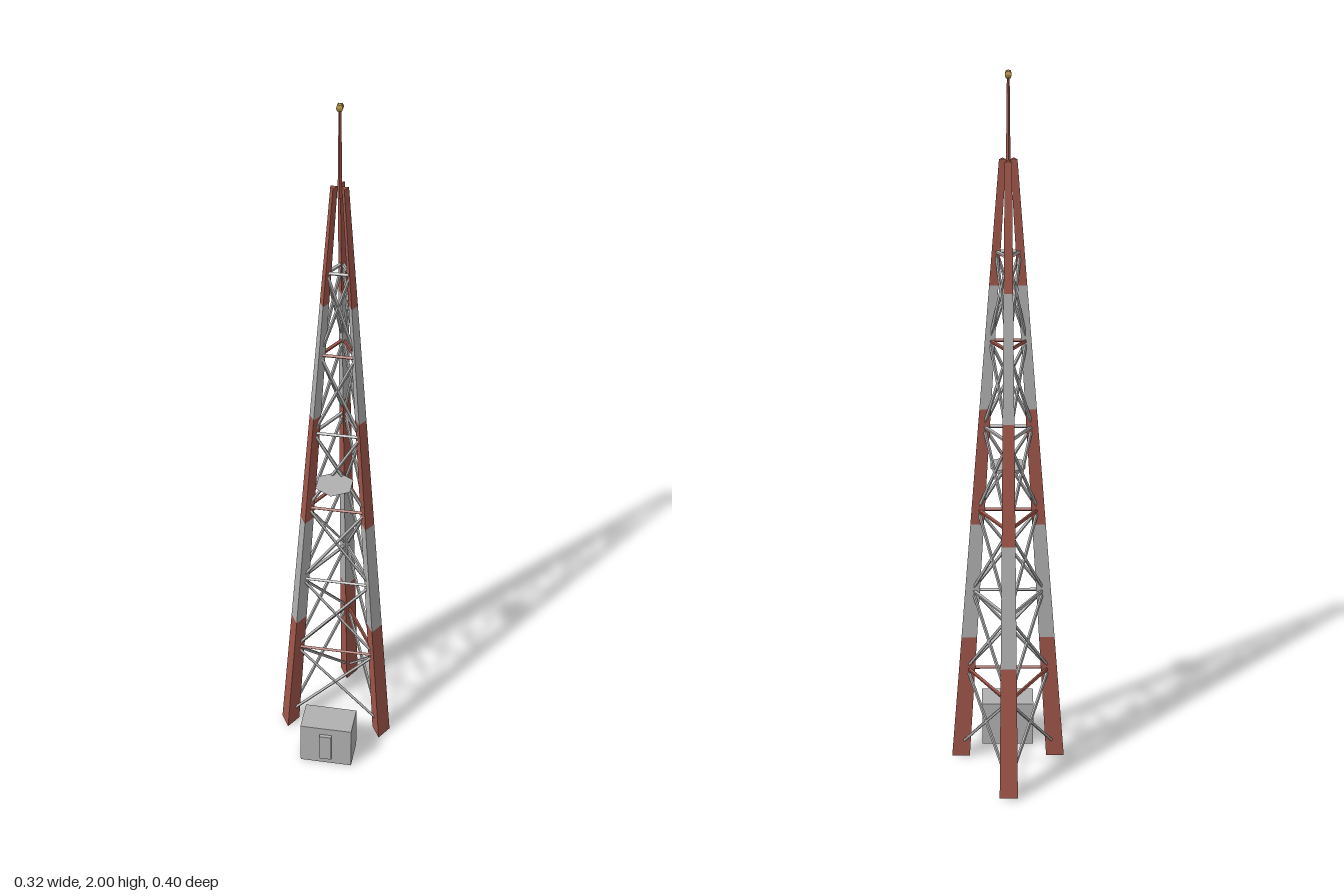
import * as THREE from 'three';

const mat = (name, color) => new THREE.MeshStandardMaterial({ name, color, flatShading: true });
const HEIGHT = 1.77, AXIS_Z = -0.034;

// Distance of a leg centre from the tower axis, and leg section radius, at height y
const legDistance = (y) => THREE.MathUtils.lerp(0.1545, 0.0165, y / HEIGHT);
const legRadius = (y) => THREE.MathUtils.lerp(0.029, 0.0105, y / HEIGHT);

// Point on the centre line of leg i (0 = back) at height y
function legPoint(i, y) {
  return new THREE.Vector3(0, y, -legDistance(y)).applyAxisAngle(new THREE.Vector3(0, 1, 0), i * Math.PI * 2 / 3);
}

function addMesh(parent, name, geometry, material, x = 0, y = 0, z = 0) {
  const mesh = new THREE.Mesh(geometry, material);
  mesh.name = name;
  mesh.position.set(x, y, z);
  parent.add(mesh);
  return mesh;
}

// Thin rod between two points
function addRod(parent, name, a, b, radius, material) {
  const mesh = addMesh(parent, name, new THREE.CylinderGeometry(radius, radius, a.distanceTo(b), 4), material);
  mesh.position.copy(a).add(b).multiplyScalar(0.5);
  mesh.quaternion.setFromUnitVectors(new THREE.Vector3(0, 1, 0), b.clone().sub(a).normalize());
}

// Tapered triangular leg piece, sheared so that it leans towards the axis
function legSection(y0, y1) {
  const g = new THREE.CylinderGeometry(legRadius(y1), legRadius(y0), y1 - y0, 3);
  g.translate(0, (y0 + y1) / 2, 0);
  const p = g.attributes.position;
  for (let i = 0; i < p.count; i++) p.setZ(i, p.getZ(i) - legDistance(p.getY(i)));
  g.computeVertexNormals();
  return g;
}

export function createModel() {
  const red = mat('signal red', 0xa0564a);
  const grey = mat('light grey', 0xb0b0b0);
  const gold = mat('beacon amber', 0xb08a3c);

  const model = new THREE.Group();
  model.name = 'latticeTower';
  const tower = new THREE.Group();
  tower.name = 'tower';
  tower.position.z = AXIS_Z;
  model.add(tower);

  // Three legs in five alternating bands
  const edges = [0.005, 0.39, 0.74, 1.08, 1.43, HEIGHT];
  for (let i = 0; i < 3; i++) {
    const leg = new THREE.Group();
    leg.name = 'leg';
    leg.rotation.y = i * Math.PI * 2 / 3;
    for (let s = 0; s < 5; s++) addMesh(leg, 'legBand', legSection(edges[s], edges[s + 1]), s % 2 ? grey : red);
    tower.add(leg);
  }

  // Horizontal rings and crossed braces
  const bay = 0.247, start = 0.04;
  for (let b = 0; b < 6; b++) {
    const y0 = start + b * bay, y1 = y0 + bay;
    for (let i = 0; i < 3; i++) {
      const j = (i + 1) % 3;
      addRod(tower, 'ringBar', legPoint(i, y1), legPoint(j, y1), 0.005, b % 2 ? grey : red);
      addRod(tower, 'crossBrace', legPoint(i, y0), legPoint(j, y1), 0.0045, grey);
      addRod(tower, 'crossBrace', legPoint(j, y0), legPoint(i, y1), 0.0045, grey);
    }
  }

  // Mast and beacon
  addMesh(tower, 'mast', new THREE.CylinderGeometry(0.0035, 0.006, 0.25, 4), red, 0, 1.86, 0);
  const beacon = addMesh(tower, 'beacon', new THREE.SphereGeometry(0.012, 4, 4), gold, 0, 1.988, 0);
  beacon.rotation.y = Math.PI / 4;

  // Six-sided dish whose tip is drawn back to the tower
  const dish = new THREE.CylinderGeometry(0.054, 0.0005, 0.032, 6);
  const p = dish.attributes.position;
  for (let i = 0; i < p.count; i++) if (p.getY(i) < 0) p.setZ(i, p.getZ(i) - 0.043);
  dish.computeVertexNormals();
  addMesh(model, 'dish', dish, grey, 0, 0.882, 0.048);

  // Equipment cabin with door
  addMesh(model, 'cabin', new THREE.BoxGeometry(0.146, 0.13, 0.09), grey, 0, 0.065, 0.147);
  addMesh(model, 'cabinDoor', new THREE.BoxGeometry(0.034, 0.085, 0.01), grey, 0, 0.065, 0.197);

  return model;
}
